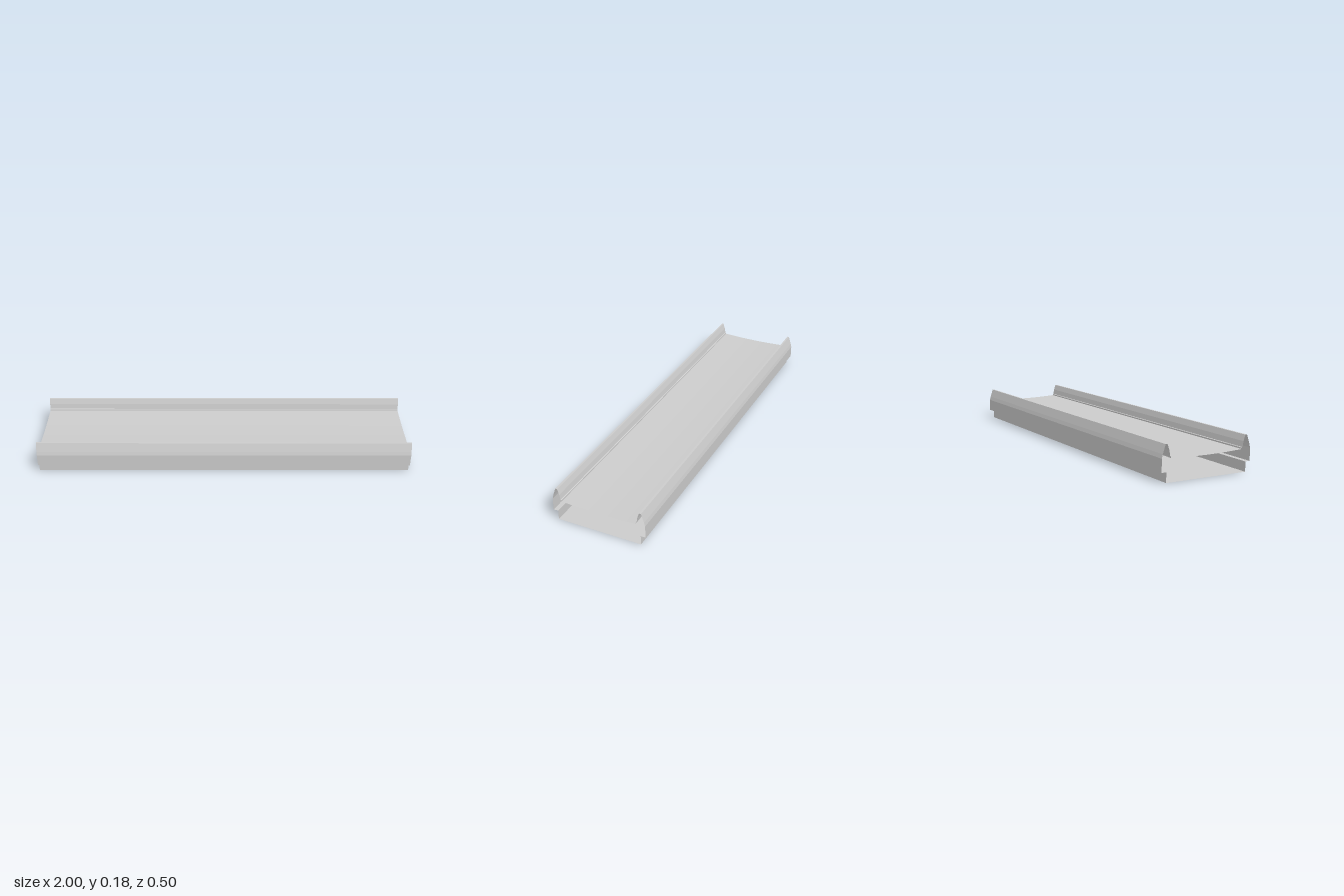
import * as THREE from 'three';

const LENGTH = 2;
const material = new THREE.MeshStandardMaterial({ color: 0xcccccc, side: THREE.DoubleSide, flatShading: true });

// Sweeps an open [z, y] cross-section along x as a thin sheet with open ends
function sheet(name, profile) {
  const h = LENGTH / 2;
  const positions = [];
  for (let i = 0; i < profile.length - 1; i++) {
    const [z0, y0] = profile[i];
    const [z1, y1] = profile[i + 1];
    positions.push(-h, y0, z0, h, y0, z0, h, y1, z1);
    positions.push(-h, y0, z0, h, y1, z1, -h, y1, z1);
  }
  const geometry = new THREE.BufferGeometry();
  geometry.setAttribute('position', new THREE.Float32BufferAttribute(positions, 3));
  geometry.computeVertexNormals();
  const mesh = new THREE.Mesh(geometry, material);
  mesh.name = name;
  return mesh;
}

export function createModel() {
  const group = new THREE.Group();
  group.name = 'channelSection';

  // Flat underside, ordered so it faces down
  group.add(sheet('bottomPlate', [[-0.225, 0], [0.225, 0]]));

  // Side rail: recessed base, step out, wall, tapered crest, inner slope, small ledge
  const rail = [
    [0.225, 0], [0.225, 0.05], [0.25, 0.05], [0.25, 0.115], [0.245, 0.135],
    [0.23, 0.18], [0.22, 0.18], [0.21, 0.15], [0.205, 0.122], [0.2, 0.12], [0.2, 0.113],
  ];
  group.add(sheet('frontRail', rail));
  group.add(sheet('backRail', rail.map(([z, y]) => [-z, y]).reverse()));

  // Slightly dished deck between the rails
  const deck = [];
  for (let i = 0; i <= 8; i++) {
    const t = 1 - i / 4;
    deck.push([0.2 * t, 0.107 + 0.006 * t * t]);
  }
  group.add(sheet('deck', deck));

  return group;
}
